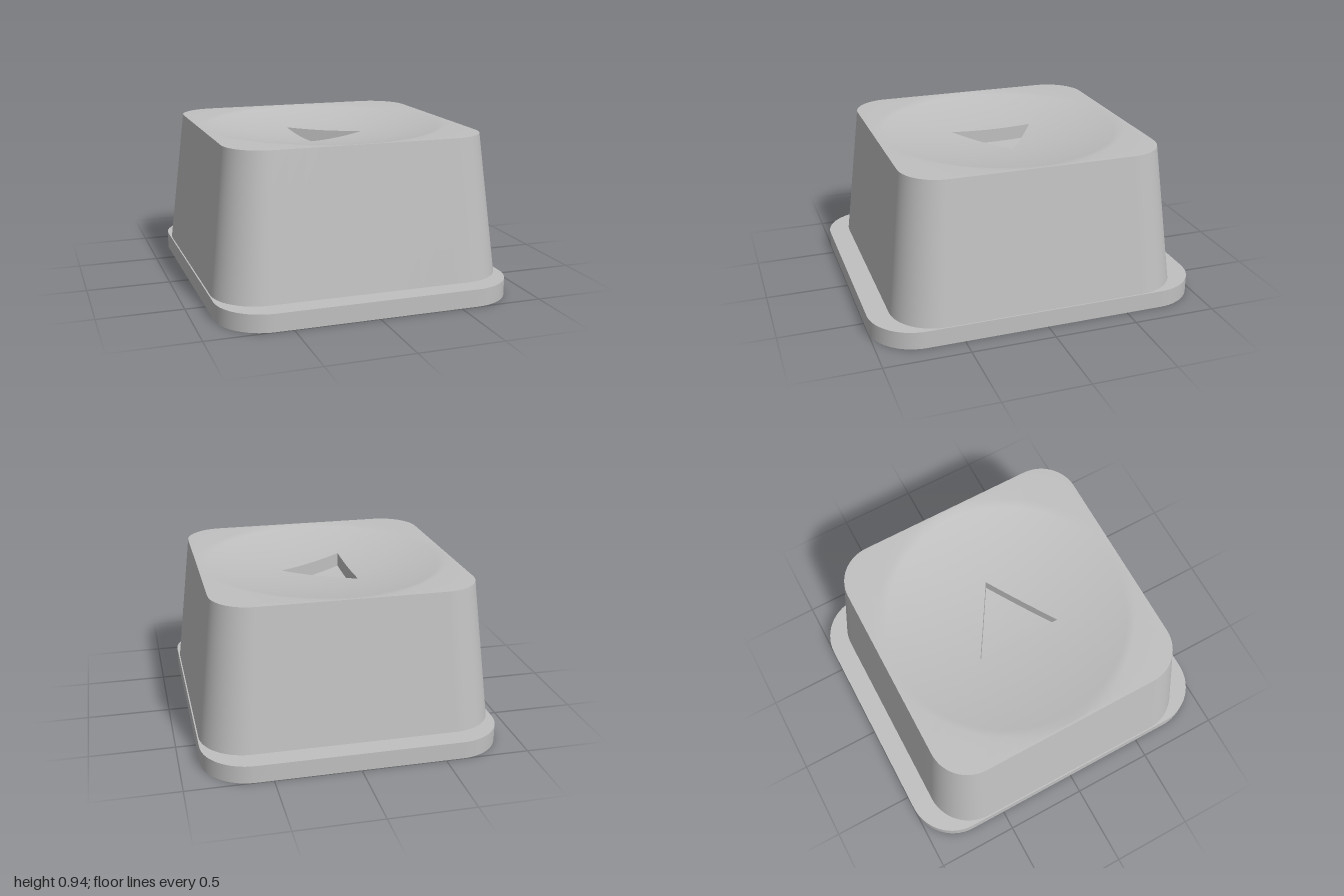
import * as THREE from 'three';

const BASE_TOP = 0.105, TOP = 0.945;
const DISH_RADIUS = 0.76, DISH_DEPTH = 0.08, RECESS_DEPTH = 0.085;
const TRIANGLE = [[0.26, 0], [-0.16, 0.26], [-0.16, -0.26]];

// Rounded rectangle outline as [x, z] points, in order of growing angle from +x to +z
function outline(halfX, halfZ, r, extraAngles = []) {
  const pts = [];
  const cx = halfX - r, cz = halfZ - r;
  for (const [sx, sz, start] of [[1, 1, 0], [-1, 1, 1], [-1, -1, 2], [1, -1, 3]]) {
    for (let i = 0; i <= 14; i++) {
      const a = (start + i / 14) * Math.PI / 2;
      pts.push([sx * cx + r * Math.cos(a), sz * cz + r * Math.sin(a)]);
    }
  }
  for (let i = -5; i <= 5; i++) {
    const t = i / 6;
    pts.push([halfX, t * cz], [-halfX, t * cz], [t * cx, halfZ], [t * cx, -halfZ]);
  }
  // extra points on the straight sides
  for (const a of extraAngles) {
    const c = Math.cos(a), s = Math.sin(a);
    const k = Math.min(halfX / Math.abs(c), halfZ / Math.abs(s));
    pts.push([k * c, k * s]);
  }
  return pts.sort((p, q) => Math.atan2(p[1], p[0]) - Math.atan2(q[1], q[0]));
}

// Distance from the centre to the triangle's edge at a given angle
function triangleRadius(a) {
  const c = Math.cos(a), s = Math.sin(a);
  let best = Infinity;
  TRIANGLE.forEach(([x1, z1], i) => {
    const [x2, z2] = TRIANGLE[(i + 1) % 3];
    const nx = z2 - z1, nz = x1 - x2;
    const k = (nx * x1 + nz * z1) / (nx * c + nz * s);
    if (k > 0) best = Math.min(best, k);
  });
  return best;
}

const dishY = (r) => TOP - DISH_DEPTH * Math.max(0, 1 - (r / DISH_RADIUS) ** 2);

// Joins closed rings of [x, y, z] points into a surface
function loft(rings, flat = false) {
  const n = rings[0].length, index = [];
  for (let i = 0; i < rings.length - 1; i++) {
    for (let j = 0; j < n; j++) {
      const a = i * n + j, c = i * n + (j + 1) % n;
      index.push(a, a + n, c, c, a + n, c + n);
    }
  }
  let g = new THREE.BufferGeometry();
  g.setAttribute('position', new THREE.Float32BufferAttribute(rings.flat(2), 3));
  g.setIndex(index);
  if (flat) g = g.toNonIndexed();
  g.computeVertexNormals();
  return g;
}

export function createModel() {
  const model = new THREE.Group();
  model.name = 'keyButton';
  const grey = new THREE.MeshStandardMaterial({ color: 0xc0c0c0 });
  grey.name = 'grey';
  const add = (name, geometry) => {
    const mesh = new THREE.Mesh(geometry, grey);
    mesh.name = name;
    model.add(mesh);
  };
  const atHeight = (pts, y, k = 1) => pts.map(([x, z]) => [x * k, y, z * k]);

  // Base flange
  const base = outline(0.88, 1, 0.28);
  add('flangeSide', loft([atHeight(base, 0), atHeight(base, BASE_TOP)]));
  add('flangeBottom', loft([atHeight(base, 0, 0), atHeight(base, 0)], true));
  add('flangeTop', loft([atHeight(base, BASE_TOP), atHeight(base, BASE_TOP, 0.5)], true));

  // Tapered body
  const body = [];
  for (let i = 0; i <= 4; i++) {
    const t = i / 4, half = 0.872 - 0.095 * t;
    body.push(atHeight(outline(half, half, 0.27 - 0.04 * t), BASE_TOP + (TOP - BASE_TOP) * t));
  }
  add('bodySide', loft(body));

  // Dished top: rim, then dish circle, then inward to the triangular opening
  const corners = TRIANGLE.slice(1).map(([x, z]) => Math.atan2(z, x));
  const rim = outline(0.777, 0.777, 0.23, corners);
  const angles = rim.map(([x, z]) => Math.atan2(z, x));
  const ring = (radius, drop = 0) => angles.map((a) => {
    const r = radius(a);
    return [r * Math.cos(a), dishY(r) - drop, r * Math.sin(a)];
  });
  const dish = [atHeight(rim, TOP)];
  for (let i = 0; i <= 12; i++) {
    dish.push(ring((a) => THREE.MathUtils.lerp(DISH_RADIUS, triangleRadius(a), i / 12)));
  }
  add('dishedTop', loft(dish));

  // Triangular recess
  add('recessWall', loft([ring(triangleRadius), ring(triangleRadius, RECESS_DEPTH)], true));
  const floor = [1, 0.75, 0.5, 0.25, 0].map((k) => ring((a) => k * triangleRadius(a), RECESS_DEPTH));
  add('recessFloor', loft(floor));

  return model;
}
